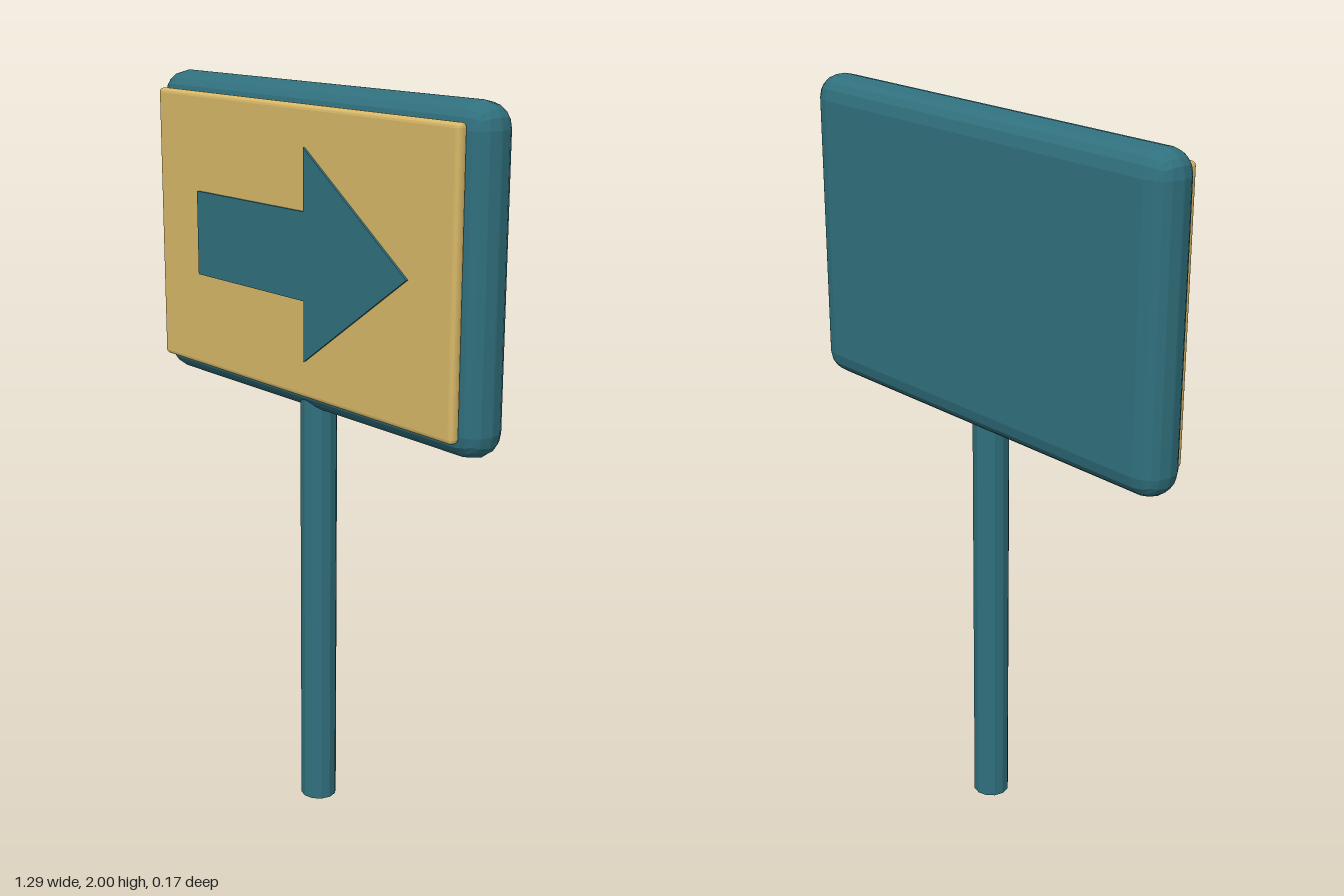
import * as THREE from 'three';
import { RoundedBoxGeometry } from 'three/addons/geometries/RoundedBoxGeometry.js';

export function createModel() {
  const model = new THREE.Group();
  const teal = new THREE.MeshStandardMaterial({ name: 'teal', color: 0x30707d });
  const sand = new THREE.MeshStandardMaterial({ name: 'sand', color: 0xd9b968 });

  // Adds a named mesh with faceted normals
  function add(name, geometry, material, x, y, z) {
    const faceted = geometry.index ? geometry.toNonIndexed() : geometry;
    faceted.computeVertexNormals();
    const mesh = new THREE.Mesh(faceted, material);
    mesh.name = name;
    mesh.position.set(x, y, z);
    model.add(mesh);
  }

  // Post, sunk slightly into the board
  add('post', new THREE.CylinderGeometry(0.05, 0.05, 1.18, 12), teal, 0, 0.59, -0.01);

  // Thick rounded board and the raised panel on its front
  add('board', new RoundedBoxGeometry(1.29, 0.85, 0.135, 2, 0.065), teal, 0, 1.575, -0.0175);
  add('panel', new RoundedBoxGeometry(1.2, 0.755, 0.03, 2, 0.012), sand, 0, 1.5775, 0.061);

  // Thin arrow plate pointing to the model's left
  const arrow = new THREE.Shape([
    [-0.415, -0.115], [0.05, -0.115], [0.05, -0.275], [0.44, 0],
    [0.05, 0.275], [0.05, 0.115], [-0.415, 0.115],
  ].map(([x, y]) => new THREE.Vector2(x, y)));
  add('arrow', new THREE.ExtrudeGeometry(arrow, { depth: 0.007, bevelEnabled: false }),
    teal, 0, 1.575, 0.075);

  return model;
}
